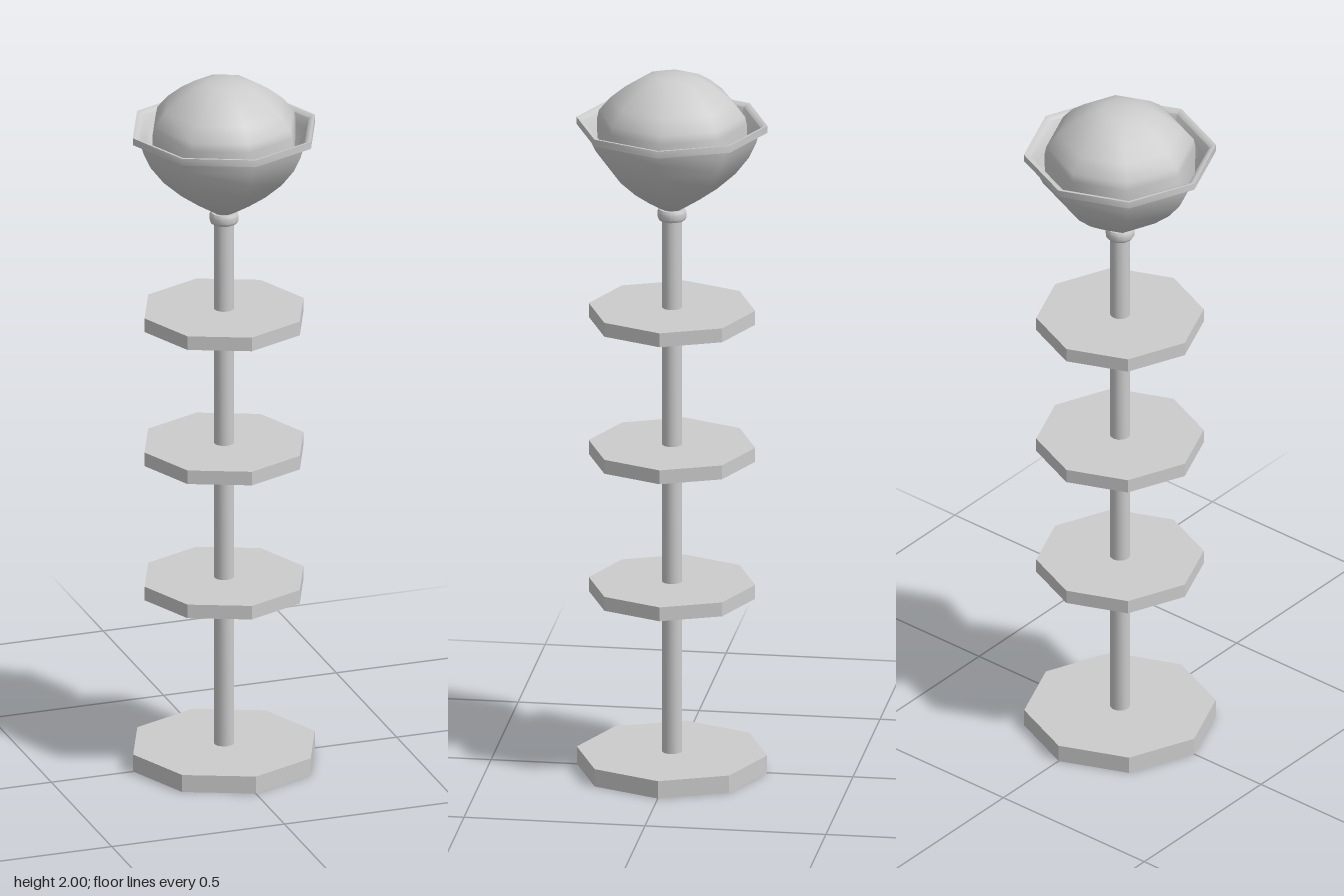
import * as THREE from 'three';
import { toCreasedNormals } from 'three/addons/utils/BufferGeometryUtils.js';

export function createModel() {
  const model = new THREE.Group();
  const material = new THREE.MeshStandardMaterial({ color: 0xcccccc, side: THREE.DoubleSide });

  // Revolve a profile of [radius, height] points; crease sets where edges stay sharp
  function turned(name, points, sides, crease) {
    const profile = points.map(([r, y]) => new THREE.Vector2(r, y));
    const geometry = toCreasedNormals(new THREE.LatheGeometry(profile, sides), crease);
    const mesh = new THREE.Mesh(geometry, material);
    mesh.name = name;
    model.add(mesh);
  }

  // Octagonal plate with a hole for the pole
  function plate(name, radius, bottom, top) {
    const hole = 0.022;
    turned(name, [[hole, bottom], [radius, bottom], [radius, top], [hole, top], [hole, bottom]], 8, 0.3);
  }

  plate('base', 0.263, 0, 0.05);
  [0.5, 0.895, 1.29].forEach((y, i) => plate('shelf' + (i + 1), 0.23, y, y + 0.04));

  // Hollow pole
  turned('pole', [[0.022, 0], [0.028, 0], [0.028, 1.62], [0.022, 1.62], [0.022, 0]], 12, 0.7);

  // Bevelled collar under the bowl
  turned('collar', [[0.026, 1.583], [0.036, 1.583], [0.04, 1.59], [0.04, 1.606],
    [0.036, 1.614], [0.026, 1.614]], 12, 0.6);

  // Bowl: outside up to the lip, then down the inside
  turned('bowl', [[0, 1.612], [0.03, 1.615], [0.075, 1.642], [0.125, 1.677], [0.175, 1.722],
    [0.212, 1.77], [0.232, 1.812], [0.241, 1.842], [0.264, 1.845], [0.264, 1.865],
    [0.257, 1.865], [0.245, 1.858], [0.233, 1.825], [0.206, 1.77], [0.168, 1.724],
    [0.12, 1.684], [0.07, 1.649], [0, 1.625]], 8, 0.85);

  // Domed cover sitting in the bowl
  turned('dome', [[0.206, 1.77], [0.207, 1.865], [0.202, 1.888], [0.17, 1.926], [0.13, 1.959],
    [0.09, 1.984], [0.05, 1.998], [0, 2]], 8, 0.85);

  return model;
}
